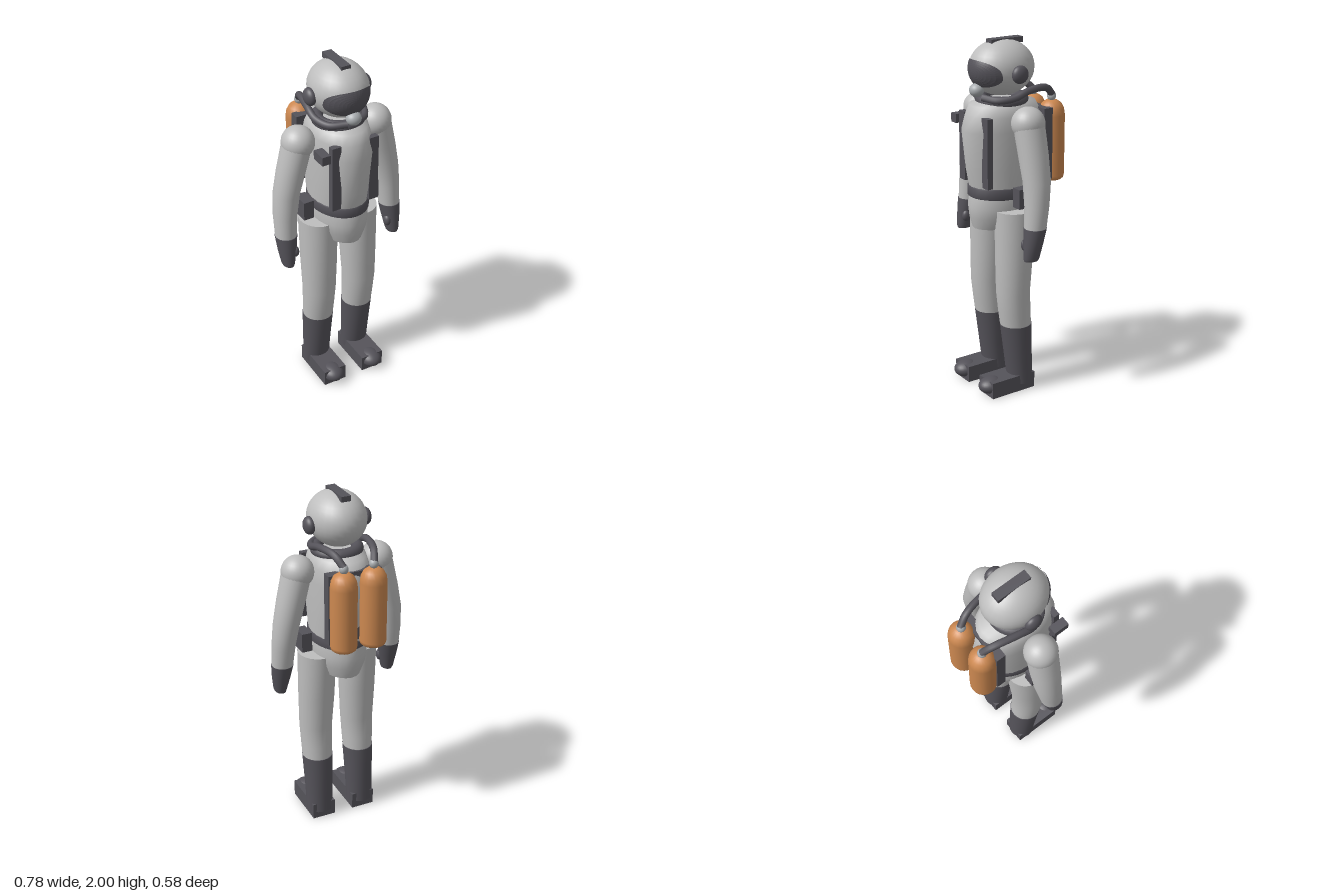
import * as THREE from 'three';

const mat = (name, color) => {
  const m = new THREE.MeshStandardMaterial({ color });
  m.name = name;
  return m;
};

// Capped tube through elliptical sections [x, y, z, rx, rz], listed bottom to top
function loft(sections, n = 24) {
  const pos = [], idx = [];
  const ring = ([x, y, z, rx, rz]) => {
    const start = pos.length / 3;
    for (let j = 0; j < n; j++) {
      const a = (j / n) * Math.PI * 2;
      pos.push(x + rx * Math.cos(a), y, z + rz * Math.sin(a));
    }
    return start;
  };
  const starts = sections.map(ring);
  for (let i = 0; i + 1 < starts.length; i++) {
    for (let j = 0; j < n; j++) {
      const k = (j + 1) % n, a = starts[i], b = starts[i + 1];
      idx.push(a + j, b + j, a + k, a + k, b + j, b + k);
    }
  }
  for (const [s, top] of [[sections[0], false], [sections[sections.length - 1], true]]) {
    const r = ring(s), c = pos.length / 3;
    pos.push(s[0], s[1], s[2]);
    for (let j = 0; j < n; j++) {
      const k = (j + 1) % n;
      idx.push(c, r + (top ? k : j), r + (top ? j : k));
    }
  }
  const g = new THREE.BufferGeometry();
  g.setAttribute('position', new THREE.Float32BufferAttribute(pos, 3));
  g.setIndex(idx);
  g.computeVertexNormals();
  return g;
}

// Curved faceplate lying just over the helmet's ellipsoid
function visorGeometry(center, radii) {
  const g = new THREE.CircleGeometry(1, 48);
  const rings = 8, n = 48, pos = [], idx = [];
  for (let i = 0; i <= rings; i++) {
    for (let j = 0; j < n; j++) {
      const a = (j / n) * Math.PI * 2, r = i / rings;
      const p = (v) => Math.sign(v) * Math.abs(v) ** 0.8;
      const x = 0.14 * r * p(Math.cos(a));
      const y = 1.828 + 0.073 * r * p(Math.sin(a));
      const d = 1 - (x / radii[0]) ** 2 - ((y - center[1]) / radii[1]) ** 2;
      pos.push(x, y, center[2] + radii[2] * Math.sqrt(Math.max(d, 0)) + 0.004);
    }
  }
  for (let i = 0; i < rings; i++) {
    for (let j = 0; j < n; j++) {
      const k = (j + 1) % n, a = i * n, b = a + n;
      idx.push(a + j, b + j, b + k, a + j, b + k, a + k);
    }
  }
  g.setAttribute('position', new THREE.Float32BufferAttribute(pos, 3));
  g.deleteAttribute('uv');
  g.setIndex(idx);
  g.computeVertexNormals();
  return g;
}

export function createModel() {
  const model = new THREE.Group();
  model.name = 'diver';
  const suit = mat('suit grey', 0xbebebe);
  const dark = mat('dark rubber', 0x55535a);
  const orange = mat('tank orange', 0xcc8850);
  const metal = mat('fitting grey', 0xa9adb0);

  const add = (name, geometry, material, x = 0, y = 0, z = 0) => {
    const m = new THREE.Mesh(geometry, material);
    m.name = name;
    m.position.set(x, y, z);
    model.add(m);
    return m;
  };
  const box = (name, m, w, h, d, x, y, z) => add(name, new THREE.BoxGeometry(w, h, d), m, x, y, z);
  const ball = (name, m, rx, ry, rz, x, y, z) =>
    add(name, new THREE.SphereGeometry(1, 28, 18).scale(rx, ry, rz), m, x, y, z);

  // Helmet
  const headAt = [0, 1.845, 0.05], headR = [0.158, 0.152, 0.186];
  ball('helmet', suit, ...headR, ...headAt);
  const visor = add('visor', visorGeometry(headAt, headR), dark);
  visor.material = dark;
  box('helmetCrest', dark, 0.054, 0.03, 0.2, 0, 1.985, 0.03);
  ball('regulator', metal, 0.042, 0.037, 0.04, 0, 1.738, 0.21);
  add('collar', new THREE.TorusGeometry(0.112, 0.034, 12, 32).rotateX(Math.PI / 2), dark, 0, 1.672, 0.05);

  // Trunk
  add('torso', loft([
    [0, 1.18, 0.04, 0.155, 0.2],
    [0, 1.3, 0.04, 0.16, 0.225],
    [0, 1.52, 0.04, 0.166, 0.25],
    [0, 1.6, 0.042, 0.16, 0.222],
    [0, 1.655, 0.045, 0.145, 0.195],
    [0, 1.675, 0.045, 0.1, 0.12],
  ]), suit);
  add('belt', loft([
    [0, 1.14, 0.045, 0.148, 0.192],
    [0, 1.15, 0.045, 0.16, 0.207],
    [0, 1.2, 0.045, 0.16, 0.207],
    [0, 1.212, 0.045, 0.148, 0.192],
  ], 32), dark);
  add('hips', loft([
    [0, 0.965, 0.045, 0.115, 0.185],
    [0, 1.03, 0.045, 0.142, 0.203],
    [0, 1.09, 0.045, 0.152, 0.209],
    [0, 1.15, 0.045, 0.148, 0.2],
  ]), suit);
  box('backplate', dark, 0.31, 0.4, 0.055, 0, 1.42, -0.152);
  box('strapPocket', dark, 0.05, 0.05, 0.09, -0.18, 1.555, 0.2);

  const tankProfile = [[0, 1.2], [0.058, 1.2], [0.07, 1.21], [0.074, 1.228], [0.074, 1.565],
    [0.069, 1.6], [0.055, 1.628], [0.032, 1.645], [0, 1.652]].map(([r, y]) => new THREE.Vector2(r, y));

  for (const s of [1, -1]) {
    const side = s > 0 ? 'left' : 'right';
    const part = (name) => side + name;
    ball(part('Earpiece'), dark, 0.032, 0.049, 0.049, s * 0.163, 1.828, 0.042);
    box(part('Strap'), dark, 0.054, 0.385, 0.034, s * 0.113, 1.413, 0.218);
    box(part('BeltPouch'), dark, 0.06, 0.11, 0.1, s * 0.205, 1.165, 0.045);

    // Air supply
    add(part('Tank'), new THREE.LatheGeometry(tankProfile, 20), orange, s * 0.087, 0, -0.221);
    ball(part('TankValve'), metal, 0.025, 0.027, 0.025, s * 0.087, 1.668, -0.221);
    const path = new THREE.CatmullRomCurve3([
      [0.087, 1.675, -0.225], [0.112, 1.725, -0.165], [0.14, 1.728, -0.03],
      [0.142, 1.7, 0.06], [0.105, 1.688, 0.14], [0.02, 1.695, 0.185],
    ].map(([x, y, z]) => new THREE.Vector3(s * x, y, z)));
    add(part('Hose'), new THREE.TubeGeometry(path, 36, 0.02, 10), dark);

    // Arm
    ball(part('Shoulder'), suit, 0.09, 0.09, 0.092, s * 0.235, 1.58, 0.04);
    add(part('Arm'), loft([
      [s * 0.33, 1.02, 0.058, 0.059, 0.06],
      [s * 0.325, 1.15, 0.045, 0.066, 0.068],
      [s * 0.31, 1.28, 0.036, 0.073, 0.077],
      [s * 0.278, 1.42, 0.037, 0.08, 0.083],
      [s * 0.24, 1.58, 0.04, 0.082, 0.087],
    ]), suit);
    add(part('Glove'), loft([
      [s * 0.335, 0.85, 0.087, 0.03, 0.042],
      [s * 0.336, 0.865, 0.086, 0.036, 0.047],
      [s * 0.333, 0.95, 0.072, 0.052, 0.056],
      [s * 0.33, 1.03, 0.058, 0.062, 0.063],
    ]), dark);
    ball(part('Thumb'), dark, 0.021, 0.034, 0.026, s * 0.296, 0.93, 0.098);

    // Leg and boot
    add(part('Leg'), loft([
      [s * 0.13, 0.38, 0.045, 0.086, 0.088],
      [s * 0.13, 0.48, 0.055, 0.09, 0.092],
      [s * 0.13, 0.6, 0.064, 0.095, 0.096],
      [s * 0.127, 0.8, 0.056, 0.103, 0.106],
      [s * 0.125, 1.08, 0.047, 0.108, 0.117],
    ]), suit);
    add(part('Boot'), loft([
      [s * 0.13, 0.04, 0.017, 0.078, 0.072],
      [s * 0.13, 0.2, 0.03, 0.081, 0.08],
      [s * 0.13, 0.4, 0.045, 0.089, 0.091],
    ]), dark);
    box(part('Foot'), dark, 0.138, 0.095, 0.285, s * 0.127, 0.0475, 0.1025);
    ball(part('Toe'), dark, 0.064, 0.047, 0.075, s * 0.13, 0.056, 0.215);
  }
  return model;
}
